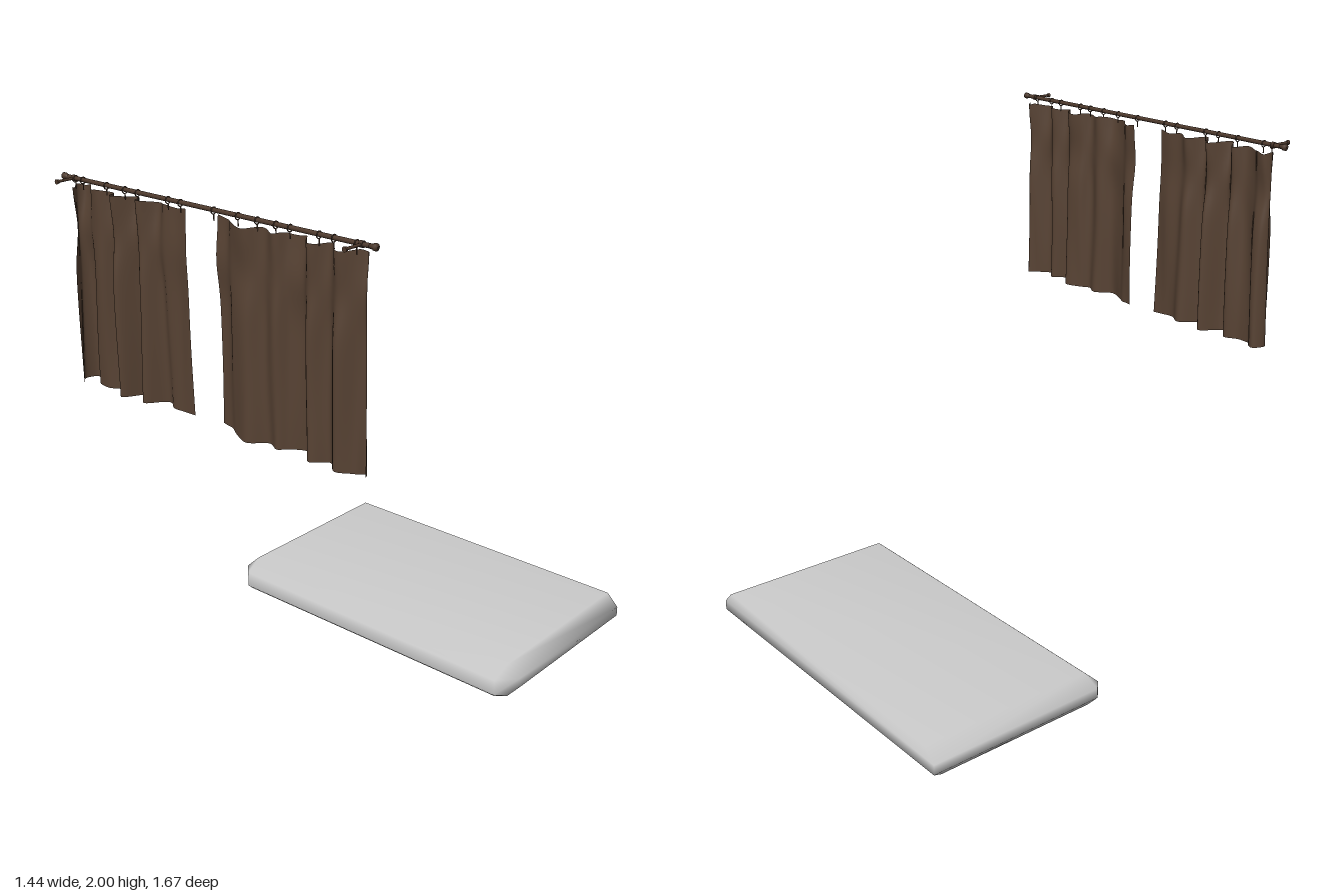
import * as THREE from 'three';
import { mergeVertices } from 'three/addons/utils/BufferGeometryUtils.js';
import { ConvexGeometry } from 'three/addons/geometries/ConvexGeometry.js';

const ROD_Y = 1.988, ROD_Z = 0.75;

function add(parent, name, geometry, material, x = 0, y = 0, z = 0) {
  const mesh = new THREE.Mesh(geometry, material);
  mesh.name = name;
  mesh.position.set(x, y, z);
  parent.add(mesh);
  return mesh;
}

// Chamfered slab with soft shading, sharp at the top back edge
function cushionGeometry() {
  const corners = [];
  for (const s of [-1, 1]) {
    const frontX = s < 0 ? 0.68 : 0.65, cornerZ = s < 0 ? -0.09 : -0.12;
    for (const [x, y, z] of [
      [0.67, 0.14, -0.84], [0.72, 0.09, -0.84], [0.72, 0.05, -0.84],
      [0.68, 0.005, -0.78], [0.67, 0.14, -0.11],
      [0.72, 0.09, cornerZ], [0.72, 0.05, cornerZ], [0.68, 0.005, -0.1],
      [frontX, 0.085, -0.05], [frontX, 0.02, -0.05], [frontX - 0.01, 0.005, -0.065],
    ]) corners.push(new THREE.Vector3(s * x, y, z));
  }
  const hull = new ConvexGeometry(corners);
  hull.deleteAttribute('normal');
  const geometry = mergeVertices(hull, 1e-4);
  geometry.computeVertexNormals();
  return geometry;
}

// Hanging cloth swept down from a folded plan line of [x, z] points
function curtainGeometry(plan, leanLeft, leanRight, phase) {
  const curve = new THREE.CatmullRomCurve3(plan.map(([x, z]) => new THREE.Vector3(x, 0, z)));
  const nx = 110, ny = 28;
  const geometry = new THREE.PlaneGeometry(1, 1, nx, ny);
  const pos = geometry.attributes.position;
  const line = curve.getPoints(nx);
  for (let j = 0; j <= ny; j++) {
    const v = j / ny;
    // folds relax below the heading, then open again toward the hem
    const depth = 0.9 - 0.4 * Math.exp(-(((v - 0.2) / 0.13) ** 2));
    const gather = 0.006 * Math.sin(v * 5 + phase) * v;
    for (let i = 0; i <= nx; i++) {
      const u = i / nx, p = line[i];
      const lean = THREE.MathUtils.lerp(leanLeft, leanRight, u) * v;
      const x = p.x + lean + gather * Math.sin(u * 19 + phase) * Math.sin(u * Math.PI);
      const z = 0.748 + (p.z - 0.748) * depth + 0.006 * Math.sin(u * 31 + v * 4 + phase) * v;
      const sag = 0.007 * Math.sin(u * Math.PI * 7) ** 2 * (1 - v);
      const hem = 0.003 * Math.sin(u * 9 + phase) * v;
      pos.setXYZ(j * (nx + 1) + i, x, 1.965 - 0.735 * v - sag + hem, z);
    }
  }
  geometry.computeVertexNormals();
  return geometry;
}

export function createModel() {
  const model = new THREE.Group();
  model.name = 'curtainsAndCushion';
  const cushionGrey = new THREE.MeshStandardMaterial({ name: 'cushionGrey', color: 0xcccccc });
  const clothBrown = new THREE.MeshStandardMaterial({ name: 'clothBrown', color: 0x57422f, side: THREE.DoubleSide });
  clothBrown.color.set(0x574233);
  const rodBrown = new THREE.MeshStandardMaterial({ name: 'rodBrown', color: 0x4d392c });

  add(model, 'cushion', cushionGeometry(), cushionGrey);

  // Curtains
  add(model, 'rightCurtain', curtainGeometry([
    [-0.635, 0.788], [-0.65, 0.765], [-0.665, 0.735], [-0.65, 0.705], [-0.62, 0.708],
    [-0.585, 0.742], [-0.54, 0.755], [-0.49, 0.718], [-0.44, 0.785], [-0.375, 0.702],
    [-0.325, 0.77], [-0.265, 0.708], [-0.215, 0.738], [-0.16, 0.728], [-0.112, 0.735],
  ], -0.024, -0.004, 0.4), clothBrown);
  add(model, 'leftCurtain', curtainGeometry([
    [0.022, 0.715], [0.07, 0.718], [0.12, 0.76], [0.19, 0.782], [0.25, 0.735],
    [0.31, 0.765], [0.35, 0.725], [0.405, 0.71], [0.46, 0.775], [0.52, 0.725],
    [0.58, 0.782], [0.635, 0.735], [0.66, 0.715], [0.678, 0.74],
  ], -0.012, -0.014, 2.1), clothBrown);

  // Rod with end caps
  const rod = new THREE.Group();
  rod.name = 'curtainRod';
  model.add(rod);
  const pole = add(rod, 'pole', new THREE.CylinderGeometry(0.008, 0.008, 1.4, 16), rodBrown, 0, ROD_Y, ROD_Z);
  pole.rotation.z = Math.PI / 2;
  const capProfile = [[0, 0], [0.008, 0], [0.009, 0.012], [0.012, 0.016], [0.012, 0.026], [0, 0.028]]
    .map(([r, h]) => new THREE.Vector2(r, h));
  for (const s of [-1, 1]) {
    const cap = add(rod, 'endCap', new THREE.LatheGeometry(capProfile, 16), rodBrown, s * 0.692, ROD_Y, ROD_Z);
    cap.rotation.z = -s * Math.PI / 2;

    // Wall bracket: arm, collar and plate
    const x = s * 0.66;
    const arm = add(rod, 'bracketArm', new THREE.CylinderGeometry(0.005, 0.005, 0.074, 12), rodBrown, x, ROD_Y, 0.788);
    arm.rotation.x = Math.PI / 2;
    const plate = add(rod, 'bracketPlate', new THREE.CylinderGeometry(0.009, 0.007, 0.01, 16), rodBrown, x, ROD_Y, 0.825);
    plate.rotation.x = Math.PI / 2;
    const collar = add(rod, 'bracketCollar', new THREE.CylinderGeometry(0.011, 0.011, 0.014, 16), rodBrown, x, ROD_Y, ROD_Z);
    collar.rotation.z = Math.PI / 2;
  }

  // Rings with small hooks into the cloth
  const rings = new THREE.Group();
  rings.name = 'curtainRings';
  model.add(rings);
  const ringGeometry = new THREE.TorusGeometry(0.0115, 0.002, 8, 20);
  const hookGeometry = new THREE.CylinderGeometry(0.002, 0.002, 0.024, 8);
  for (const x of [-0.655, -0.615, -0.49, -0.395, -0.33, -0.18, -0.12,
    0.035, 0.145, 0.23, 0.31, 0.37, 0.49, 0.55, 0.64]) {
    const ring = add(rings, 'ring', ringGeometry, rodBrown, x, ROD_Y - 0.002, ROD_Z);
    ring.rotation.y = Math.PI / 2;
    add(rings, 'hook', hookGeometry, rodBrown, x, ROD_Y - 0.024, ROD_Z);
  }
  return model;
}
